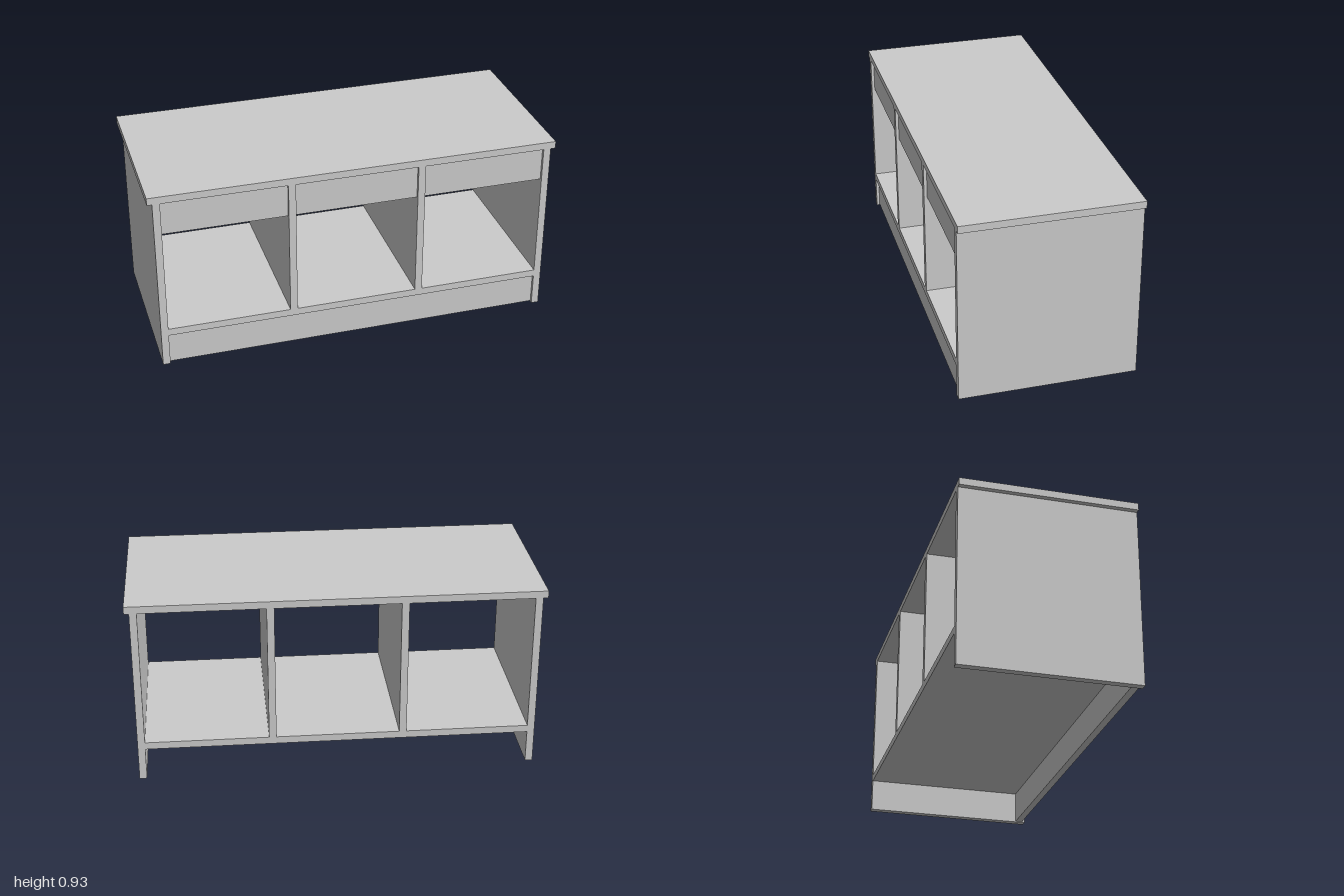
import * as THREE from 'three';

export function createModel() {
  const group = new THREE.Group();
  const material = new THREE.MeshStandardMaterial({ color: 0xcccccc });

  const T = 0.036;              // board thickness
  const H = 0.926;              // overall height
  const D = 0.864;              // overall depth
  const underTop = H - T;       // underside of the top board
  const outer = 0.976;          // outer face of the side panels
  const inner = outer - T;      // inner face of the side panels
  const shelfTop = 0.2;
  const inset = 0.015;          // setback of plinth and rails from the front

  // Board given by its extents along each axis
  function board(name, x0, x1, y0, y1, z0 = -D / 2, z1 = D / 2) {
    const mesh = new THREE.Mesh(new THREE.BoxGeometry(x1 - x0, y1 - y0, z1 - z0), material);
    mesh.position.set((x0 + x1) / 2, (y0 + y1) / 2, (z0 + z1) / 2);
    mesh.name = name;
    group.add(mesh);
  }

  board('top', -1, 1, underTop, H);
  board('leftSide', inner, outer, 0, underTop);
  board('rightSide', -outer, -inner, 0, underTop);
  board('bottomShelf', -inner, inner, shelfTop - T, shelfTop);

  // Recessed plinth below the shelf
  const front = D / 2 - inset;
  board('plinth', -inner, inner, 0.004, shelfTop - T, front - T, front);

  // Three equal bays: a front rail in each, dividers between them
  const bay = (2 * inner - 2 * T) / 3;
  for (let i = 0; i < 3; i++) {
    const x0 = -inner + i * (bay + T);
    board('frontRail' + (i + 1), x0, x0 + bay, 0.72, underTop, front - T, front);
    if (i < 2) board('divider' + (i + 1), x0 + bay, x0 + bay + T, shelfTop, underTop);
  }

  return group;
}
